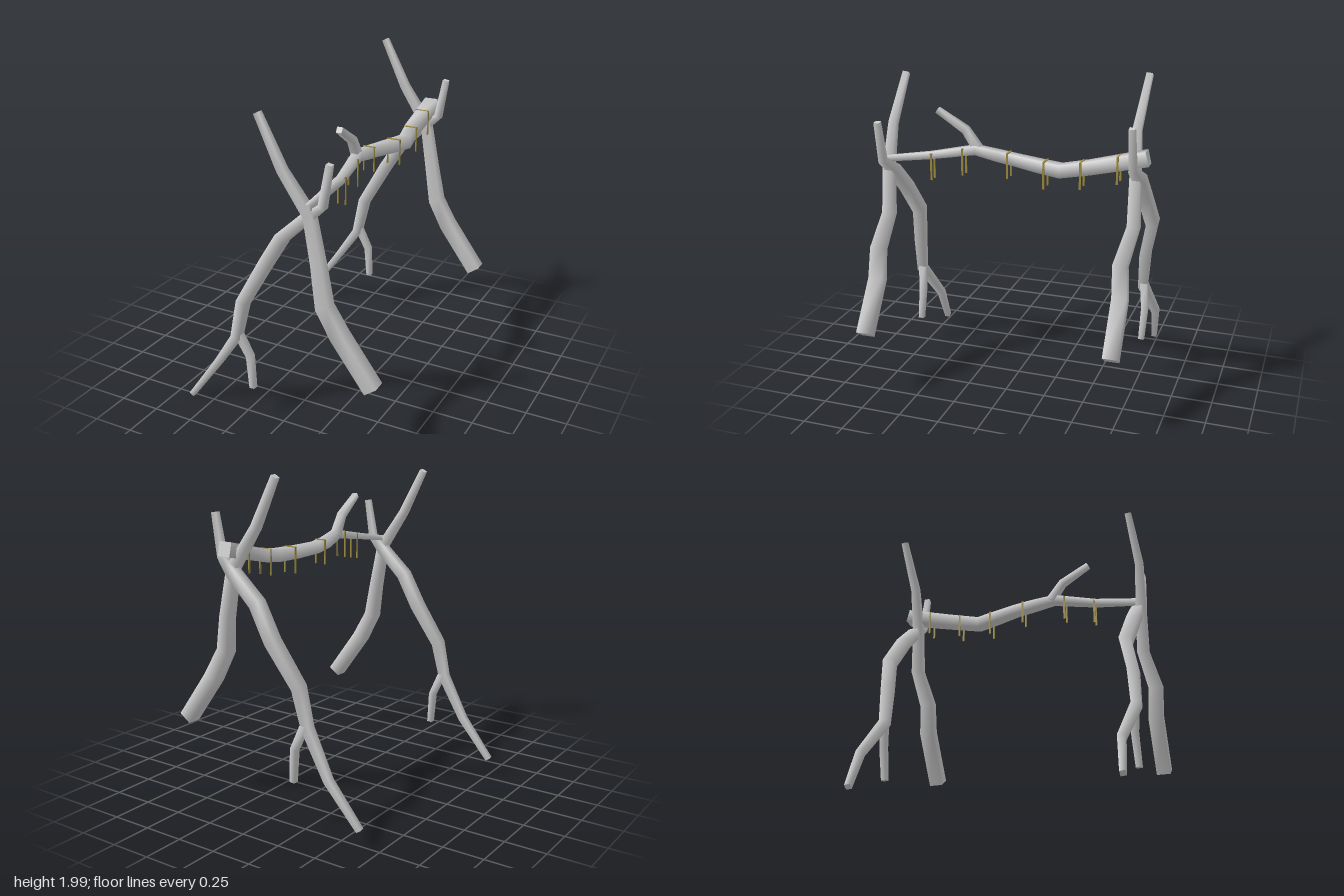
import * as THREE from 'three';

const bark = new THREE.MeshStandardMaterial({ color: 0xcccccc });
const cord = new THREE.MeshStandardMaterial({ color: 0x9a8a3c });

// Four-sided tapering limb through points [x, y, z, halfWidth]; ref sets the roll of the section
function limb(name, points, ref) {
  const pts = points.map(p => new THREE.Vector3(p[0], p[1], p[2]));
  const pos = [], index = [];
  const corners = [[1, 1], [-1, 1], [-1, -1], [1, -1]];
  const last = pts.length - 1;
  const rings = pts.map((p, i) => {
    const t = new THREE.Vector3();
    if (i > 0) t.add(p.clone().sub(pts[i - 1]).normalize());
    if (i < last) t.add(pts[i + 1].clone().sub(p).normalize());
    t.normalize();
    const u = ref.clone().addScaledVector(t, -ref.dot(t)).normalize();
    const v = t.clone().cross(u);
    const r = points[i][3];
    return corners.map(([a, b]) => p.clone().addScaledVector(u, a * r).addScaledVector(v, b * r));
  });
  const push = ring => ring.forEach(c => pos.push(c.x, c.y, c.z));
  rings.forEach(push);
  for (let i = 0; i < last; i++) {
    for (let k = 0; k < 4; k++) {
      const a = i * 4 + k, b = i * 4 + (k + 1) % 4;
      index.push(a, b, b + 4, a, b + 4, a + 4);
    }
  }
  // Cut ends have their own corners so they stay flat
  let n = pos.length / 3;
  push(rings[0]);
  index.push(n, n + 2, n + 1, n, n + 3, n + 2);
  n += 4;
  push(rings[last]);
  index.push(n, n + 1, n + 2, n, n + 2, n + 3);
  const geo = new THREE.BufferGeometry();
  geo.setAttribute('position', new THREE.Float32BufferAttribute(pos, 3));
  geo.setIndex(index);
  geo.computeVertexNormals();
  const mesh = new THREE.Mesh(geo, bark);
  mesh.name = name;
  return mesh;
}

// Pair of crossed branches holding up one end of the ridge
function crossedFrame(name) {
  const z = new THREE.Vector3(0, 0, 1);
  const g = new THREE.Group();
  g.name = name;
  g.add(
    limb('thickLeg', [
      [0.6, 0.425, 0.78, 0.043], [0.395, 0.71, 0.785, 0.043], [0.315, 0.88, 0.808, 0.04],
      [0.25, 1.1, 0.755, 0.034], [0.205, 1.38, 0.765, 0.03], [0.06, 1.62, 0.795, 0.024],
      [-0.098, 1.905, 0.77, 0.018]], z),
    limb('forkedLeg', [
      [-0.643, 0.02, 0.77, 0.017], [-0.46, 0.28, 0.735, 0.022], [-0.28, 0.53, 0.79, 0.028],
      [-0.235, 0.76, 0.775, 0.033], [-0.105, 1.015, 0.715, 0.036], [0.02, 1.205, 0.742, 0.036],
      [0.185, 1.36, 0.742, 0.033], [0.285, 1.44, 0.765, 0.022], [0.33, 1.685, 0.768, 0.017]], z),
    limb('legFork', [
      [-0.275, 0.56, 0.785, 0.022], [-0.212, 0.4, 0.76, 0.02], [-0.193, 0.197, 0.77, 0.017]], z));
  return g;
}

// Cord hung over the ridge as an upside-down U
function hangingCord(x, top, bottom, z, half) {
  const t = 0.006, o = half + t, d = 0.012;
  const s = new THREE.Shape();
  s.moveTo(-o, bottom);
  s.lineTo(-o, top);
  s.lineTo(o, top);
  s.lineTo(o, bottom);
  s.lineTo(half, bottom);
  s.lineTo(half, top - t);
  s.lineTo(-half, top - t);
  s.lineTo(-half, bottom);
  s.closePath();
  const geo = new THREE.ExtrudeGeometry(s, { depth: d, bevelEnabled: false });
  const mesh = new THREE.Mesh(geo, cord);
  mesh.position.set(x, 0, z - d / 2);
  mesh.name = 'hangingCord';
  return mesh;
}

export function createModel() {
  const model = new THREE.Group();
  model.name = 'branchRack';

  // Front frame, and the same frame set a little higher at the back
  const back = crossedFrame('backFrame');
  back.position.set(0.015, 0.087, -1.53);
  model.add(crossedFrame('frontFrame'), back);

  // Ridge branch with its side twig
  const x = new THREE.Vector3(1, 0, 0);
  model.add(
    limb('ridge', [
      [0.223, 1.583, -0.833, 0.042], [0.23, 1.5, -0.5, 0.038], [0.257, 1.474, -0.34, 0.037],
      [0.215, 1.478, -0.2, 0.035], [0.178, 1.488, -0.05, 0.032], [0.18, 1.505, 0.06, 0.031],
      [0.2, 1.535, 0.2, 0.027], [0.235, 1.487, 0.47, 0.021], [0.21, 1.43, 0.795, 0.017]], x),
    limb('ridgeTwig', [
      [0.19, 1.53, 0.18, 0.026], [0.198, 1.65, 0.26, 0.022], [0.208, 1.758, 0.432, 0.017]], x));

  // Cords: x, top, bottom, z, inner half width
  [[0.238, 1.503, 1.34, 0.46, 0.021], [0.21, 1.545, 1.38, 0.27, 0.027],
    [0.178, 1.532, 1.378, 0, 0.031], [0.228, 1.517, 1.355, -0.24, 0.037],
    [0.24, 1.535, 1.378, -0.46, 0.037], [0.227, 1.585, 1.425, -0.67, 0.038],
  ].forEach(c => model.add(hangingCord(...c)));

  return model;
}
